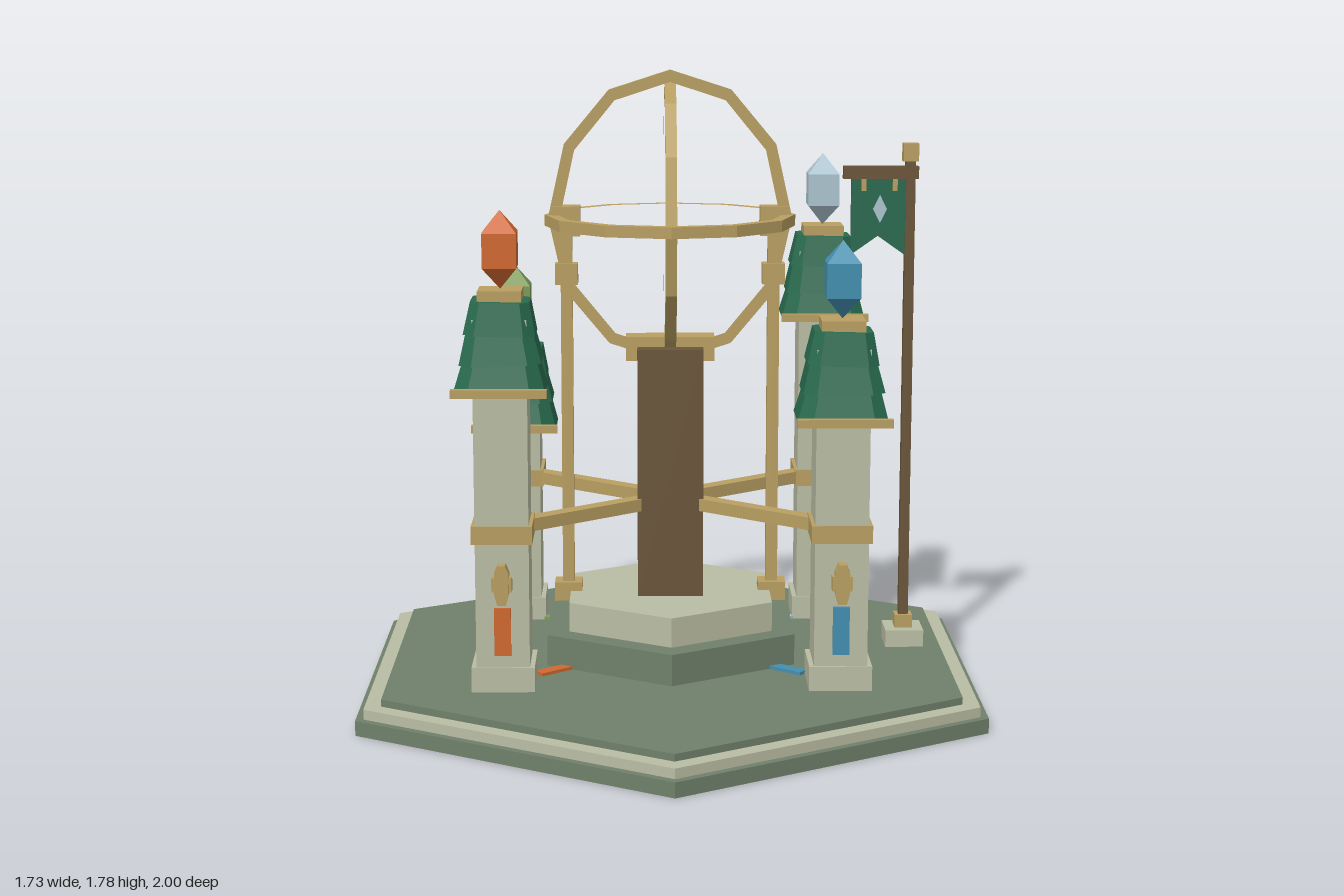
import * as THREE from 'three';

const mat = (name, color) => {
  const m = new THREE.MeshStandardMaterial({ color });
  m.name = name;
  return m;
};

export function createModel() {
  const M = {
    moss: mat('mossStone', 0x6f806b),
    stone: mat('paleStone', 0xbabda3),
    gold: mat('brass', 0xb89f62),
    wood: mat('darkWood', 0x6a553a),
    roof: mat('roofGreen', 0x296a4e),
    orange: mat('orangeCrystal', 0xd0682f),
    blue: mat('blueCrystal', 0x438fb0),
    ice: mat('iceCrystal', 0xabc4cf),
    leaf: mat('leafCrystal', 0x7c9b56),
  };
  const CZ = -0.06; // z of the central monument
  const root = new THREE.Group();

  const add = (parent, name, geo, material, x = 0, y = 0, z = 0) => {
    const flat = geo.index ? geo.toNonIndexed() : geo;
    flat.computeVertexNormals();
    const mesh = new THREE.Mesh(flat, material);
    mesh.name = name;
    mesh.position.set(x, y, z);
    parent.add(mesh);
    return mesh;
  };
  // box given by its centre in x and z and its bottom and top in y
  const box = (parent, name, material, w, y0, y1, d, x = 0, z = 0) =>
    add(parent, name, new THREE.BoxGeometry(w, y1 - y0, d), material, x, (y0 + y1) / 2, z);
  const group = (name, x = 0, y = 0, z = 0) => {
    const g = new THREE.Group();
    g.name = name;
    g.position.set(x, y, z);
    root.add(g);
    return g;
  };
  const hex = (parent, name, material, r, y0, y1) =>
    add(parent, name, new THREE.CylinderGeometry(r, r, y1 - y0, 6), material, 0, (y0 + y1) / 2, 0);
  const shapeOf = (pts) => new THREE.Shape(pts.map(([x, y]) => new THREE.Vector2(x, y)));
  const plate = (pts, depth) =>
    new THREE.ExtrudeGeometry(shapeOf(pts), { depth, bevelEnabled: false }).translate(0, 0, -depth / 2);

  // Hexagonal platform
  const base = group('platform');
  hex(base, 'platformFoot', M.moss, 1, 0, 0.042);
  hex(base, 'platformRim', M.stone, 0.975, 0.042, 0.07);
  hex(base, 'platformFloor', M.moss, 0.922, 0.07, 0.09);

  // Stepped pedestal and central post
  const centre = group('monument', 0, 0, CZ);
  hex(centre, 'lowerStep', M.moss, 0.41, 0.09, 0.18);
  hex(centre, 'upperStep', M.stone, 0.337, 0.18, 0.265);
  box(centre, 'centralPost', M.wood, 0.19, 0.265, 0.99, 0.19);
  box(centre, 'postCap', M.gold, 0.256, 0.95, 1.02, 0.08);

  // Armillary rings: twelve-sided hoops
  const hoop = (rx, ry) => {
    const pts = (inset) => Array.from({ length: 12 }, (_, i) => {
      const a = (i * Math.PI) / 6;
      return new THREE.Vector2((rx - inset) * Math.sin(a), (ry - inset) * Math.cos(a));
    });
    const s = new THREE.Shape(pts(0));
    s.holes.push(new THREE.Path(pts(0.034)));
    return new THREE.ExtrudeGeometry(s, { depth: 0.032, bevelEnabled: false }).translate(0, 0, -0.016);
  };
  add(centre, 'frontRing', hoop(0.35, 0.42), M.gold, 0, 1.362, 0);
  add(centre, 'sideRing', hoop(0.322, 0.385), M.gold, 0, 1.362, 0).rotation.y = Math.PI / 2;
  add(centre, 'horizonRing', hoop(0.36, 0.36), M.gold, 0, 1.354, 0).rotation.x = Math.PI / 2;

  // Ring supports
  for (const s of [-1, 1]) {
    const x = s * 0.298;
    box(centre, 'ringSupport', M.gold, 0.034, 0.235, 1.38, 0.034, x);
    box(centre, 'supportFoot', M.gold, 0.08, 0.235, 0.29, 0.07, x);
    box(centre, 'supportCollar', M.gold, 0.065, 1.17, 1.23, 0.055, x);
    box(centre, 'supportHead', M.gold, 0.08, 1.31, 1.395, 0.06, x);
  }

  // Chamfered square frustum for the roof tiers
  const tier = (low, high, h) => {
    const c = low * 0.68;
    const geo = plate([[c, -low], [low, -c], [low, c], [c, low], [-c, low], [-low, c], [-low, -c], [-c, -low]], h);
    geo.rotateX(-Math.PI / 2);
    const p = geo.attributes.position;
    for (let i = 0; i < p.count; i++) {
      const k = p.getY(i) > 0 ? high / low : 1;
      p.setXYZ(i, p.getX(i) * k, p.getY(i), p.getZ(i) * k);
    }
    return geo;
  };
  const crystal = () => {
    const prof = [[0, 0], [0.066, 0.06], [0.066, 0.155], [0, 0.215]].map(([x, y]) => new THREE.Vector2(x, y));
    return new THREE.LatheGeometry(prof, 4).rotateY(Math.PI / 4);
  };

  // Four roofed pillars, each at its own height
  const pillar = (name, px, pz, B, color) => {
    const g = group(name, px, 0, pz);
    box(g, 'plinth', M.stone, 0.175, 0.09, 0.16, 0.175);
    box(g, 'shaft', M.stone, 0.148, 0.16, B + 0.2, 0.162);
    box(g, 'band', M.gold, 0.168, 0.51, 0.56, 0.18);
    [[0.125, 0.1], [0.112, 0.09], [0.098, 0.08]].forEach(([lo, hi], i) => {
      const t = add(g, 'roofTier', tier(lo, hi, 0.09), M.roof, 0, B + 0.045 + i * 0.078, 0);
      t.rotation.z = i % 2 ? 0.025 : -0.025;
    });
    box(g, 'eaveStrip', M.gold, 0.26, B - 0.004, B + 0.019, 0.022, 0, 0.134);
    box(g, 'roofCap', M.gold, 0.12, B + 0.235, B + 0.275, 0.12);
    add(g, 'crystal', crystal(), color, 0, B + 0.275, 0);
    // Coloured plaque and brass emblem on the front face
    box(g, 'plaque', color, 0.046, 0.195, 0.33, 0.009, 0, 0.0855);
    add(g, 'emblemStem', plate([[-0.012, 0.345], [0.012, 0.345], [0.02, 0.375], [0.02, 0.435],
      [0.01, 0.457], [-0.01, 0.457], [-0.02, 0.435], [-0.02, 0.375]], 0.036), M.gold, 0, 0, 0.1);
    box(g, 'emblemBar', M.gold, 0.056, 0.382, 0.422, 0.03, 0, 0.097);

    // Tie beam to the post and inlay on the floor, both pointing at the centre
    const dz = pz - CZ;
    const len = Math.hypot(px, dz);
    const spoke = group(name + 'Spoke', 0, 0, CZ);
    spoke.rotation.y = Math.atan2(-dz, px);
    box(spoke, 'tieBeam', M.gold, len - 0.16, 0.518, 0.554, 0.045, len / 2 + 0.02);
    box(spoke, 'floorInlay', color, 0.11, 0.09, 0.099, 0.035, 0.425);
  };
  pillar('frontRightPillar', -0.467, 0.312, 0.93, M.orange);
  pillar('frontLeftPillar', 0.467, 0.312, 0.847, M.blue);
  pillar('backLeftPillar', 0.467, -0.426, 1.028, M.ice);
  pillar('backRightPillar', -0.467, -0.426, 0.69, M.leaf);

  // Banner on its pole
  const flag = group('banner', 0.692, 0, -0.085);
  box(flag, 'poleBase', M.stone, 0.112, 0.09, 0.14, 0.112);
  box(flag, 'poleCollar', M.gold, 0.052, 0.14, 0.178, 0.052);
  box(flag, 'pole', M.wood, 0.028, 0.17, 1.52, 0.028);
  box(flag, 'finial', M.gold, 0.044, 1.52, 1.572, 0.044);
  box(flag, 'crossArm', M.wood, 0.216, 1.47, 1.506, 0.04, -0.085);
  add(flag, 'cloth', plate([[-0.17, 1.475], [-0.17, 1.25], [-0.092, 1.305], [-0.014, 1.25], [-0.014, 1.475]], 0.012), M.roof);
  add(flag, 'clothEmblem', plate([[0, 1.343], [0.02, 1.383], [0, 1.423], [-0.02, 1.383]], 0.008), M.ice, -0.087, 0, 0.009);
  for (const x of [-0.134, -0.044]) box(flag, 'clothClip', M.gold, 0.014, 1.435, 1.475, 0.022, x);

  return root;
}
